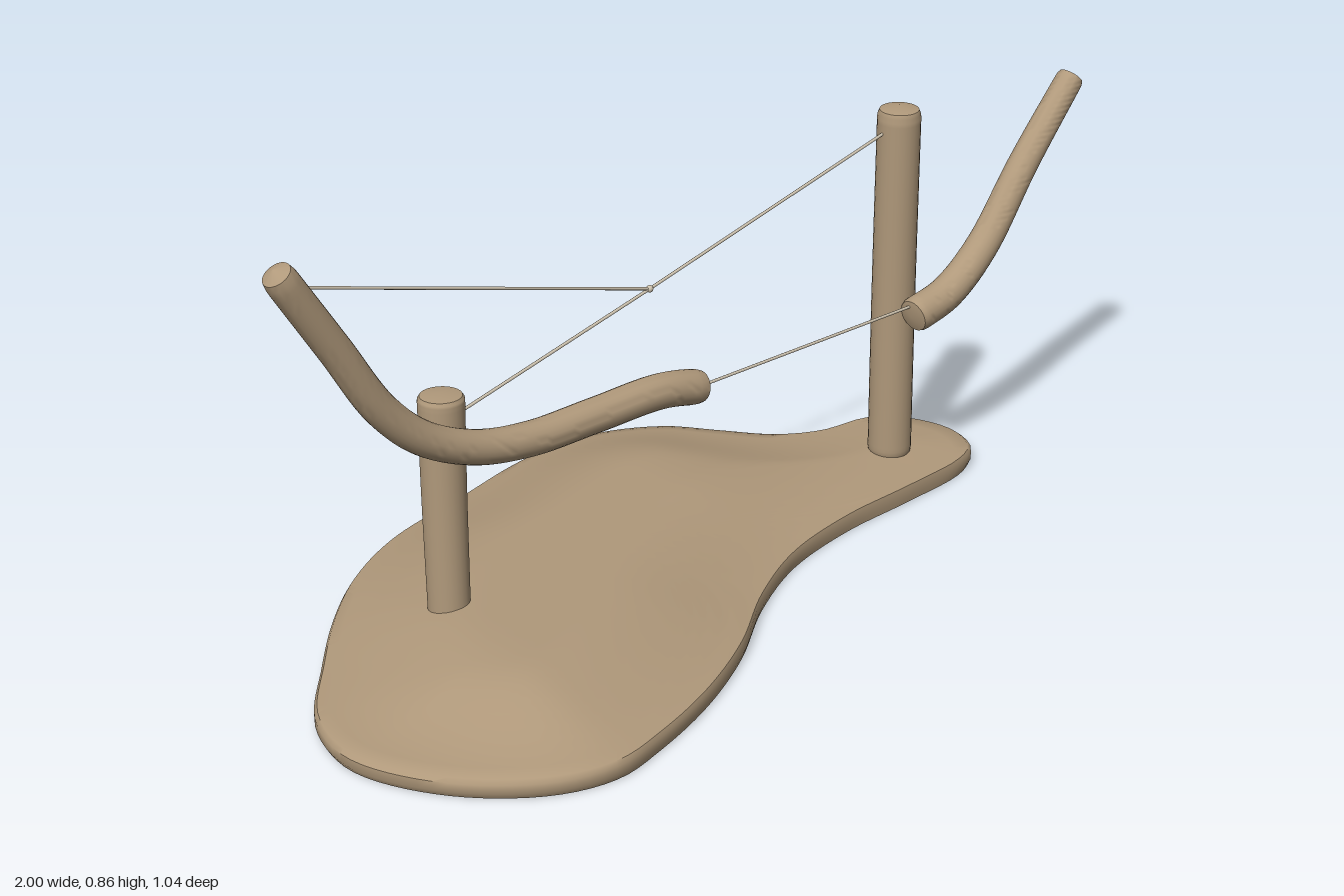
import * as THREE from 'three';
import { mergeVertices, toCreasedNormals } from 'three/addons/utils/BufferGeometryUtils.js';

const V = (p) => new THREE.Vector3(p[0], p[1], p[2]);
const smooth = THREE.MathUtils.smoothstep;

// Tapered round limb along a curve, with nearly flat closed ends
function limb(points, r0, r1) {
  const curve = new THREE.CatmullRomCurve3(points.map(V));
  const n = 90, sides = 24;
  const geo = new THREE.TubeGeometry(curve, n, 1, sides, false);
  const pos = geo.attributes.position, p = new THREE.Vector3();
  for (let i = 0; i <= n; i++) {
    const c = curve.getPointAt(i / n);
    const end = [0, 0.9, 0.98][Math.min(i, n - i)] ?? 1;
    const r = THREE.MathUtils.lerp(r0, r1, i / n) * end;
    for (let j = 0; j <= sides; j++) {
      const k = i * (sides + 1) + j;
      p.fromBufferAttribute(pos, k).sub(c).multiplyScalar(r).add(c);
      pos.setXYZ(k, p.x, p.y, p.z);
    }
  }
  geo.deleteAttribute('uv');
  geo.deleteAttribute('normal');
  return toCreasedNormals(mergeVertices(geo, 1e-5), 0.7);
}

// Thin straight cord between two points
function cord(a, b) {
  return new THREE.TubeGeometry(new THREE.LineCurve3(V(a), V(b)), 1, 0.003, 8);
}

// Free-form low mound with a flat underside and a thin rounded rim
function mound() {
  const outline = [
    [-1, 0.2], [-0.97, 0.06], [-0.85, -0.09], [-0.72, -0.23], [-0.6, -0.33], [-0.45, -0.41],
    [-0.24, -0.465], [-0.08, -0.508], [0.035, -0.523], [0.16, -0.51], [0.28, -0.445],
    [0.35, -0.355], [0.425, -0.26], [0.51, -0.21], [0.63, -0.19], [0.69, -0.13],
    [0.715, -0.03], [0.68, 0.05], [0.62, 0.08], [0.46, 0.098], [0.27, 0.112], [0.085, 0.155],
    [-0.08, 0.24], [-0.24, 0.355], [-0.4, 0.44], [-0.56, 0.497], [-0.68, 0.521],
    [-0.8, 0.485], [-0.93, 0.365],
  ].map(([x, z]) => new THREE.Vector3(x, 0, z));
  const n = 160;
  const rim = new THREE.CatmullRomCurve3(outline, true).getSpacedPoints(n).slice(0, n);
  const centre = new THREE.Vector3(-0.25, 0, 0);

  // Height grows with distance from the rim and fades towards both ends
  const height = (x, z) => {
    let d = Infinity;
    for (const q of rim) d = Math.min(d, Math.hypot(q.x - x, q.z - z));
    const t = Math.min(d / 0.28, 1);
    const rise = (Math.sin(t * Math.PI / 2) + smooth(t, 0, 1)) / 2;
    const ends = smooth(x, -1.1, -0.62) * (1 - 0.72 * smooth(x, 0, 0.5));
    return 0.036 + 0.068 * rise * ends;
  };

  const rows = [];
  for (let i = 0; i <= 24; i++) rows.push([0.99 * i / 24, null]);
  rows.push([1, 0.029], [1, 0.012], [0.99, 0], [0, 0]);

  const verts = [], index = [];
  rows.forEach(([f, y], i) => {
    for (let j = 0; j < n; j++) {
      const p = centre.clone().lerp(rim[j], f);
      verts.push(p.x, y ?? height(p.x, p.z), p.z);
      if (i === 0) continue;
      const k = (j + 1) % n, a = (i - 1) * n, b = i * n;
      if (i > 1) index.push(a + j, a + k, b + k);
      if (i < rows.length - 1) index.push(a + j, b + k, b + j);
    }
  });
  const geo = new THREE.BufferGeometry();
  geo.setAttribute('position', new THREE.Float32BufferAttribute(verts, 3));
  geo.setIndex(index);
  return toCreasedNormals(geo, 0.8);
}

export function createModel() {
  const group = new THREE.Group();
  const wood = new THREE.MeshStandardMaterial({ color: 0xb0997b });
  wood.name = 'tan wood';
  const string = new THREE.MeshStandardMaterial({ color: 0xcfc4b0 });
  string.name = 'pale string';
  const add = (name, geo, material) => {
    const mesh = new THREE.Mesh(geo, material);
    mesh.name = name;
    group.add(mesh);
    return mesh;
  };

  add('base', mound(), wood);

  // Upright posts
  add('tallPost', limb([[0.53, 0.03, -0.038], [0.527, 0.4, -0.034], [0.523, 0.787, -0.026]], 0.044, 0.043), wood);
  add('shortPost', limb([[-0.606, 0.06, -0.03], [-0.604, 0.3, -0.036], [-0.603, 0.511, -0.037]], 0.039, 0.043), wood);

  // Bent branches
  add('longBranch', limb([
    [-0.972, 0.857, 0.01], [-0.86, 0.685, 0.012], [-0.77, 0.545, 0.016], [-0.69, 0.47, 0.022],
    [-0.58, 0.42, 0.028], [-0.46, 0.4, 0.031], [-0.31, 0.4, 0.032], [-0.15, 0.4, 0.032], [-0.04, 0.378, 0.031],
  ], 0.03, 0.034), wood);
  add('shortBranch', limb([
    [0.505, 0.364, 0.037], [0.61, 0.39, 0.035], [0.71, 0.46, 0.031], [0.835, 0.605, 0.022], [0.982, 0.758, 0.013],
  ], 0.036, 0.028), wood);

  // Cords and their knots
  const joint = [-0.12, 0.577, -0.03], tie = [-0.905, 0.8, -0.012];
  add('branchCord', cord([-0.05, 0.38, 0.031], [0.515, 0.385, 0.031]), string);
  add('upperCord', cord(tie, joint), string);
  add('postCordShort', cord([-0.57, 0.464, -0.03], joint), string);
  add('postCordTall', cord(joint, [0.495, 0.739, -0.03]), string);
  for (const p of [joint, tie]) add('knot', new THREE.SphereGeometry(0.007, 12, 8), string).position.set(...p);

  return group;
}
